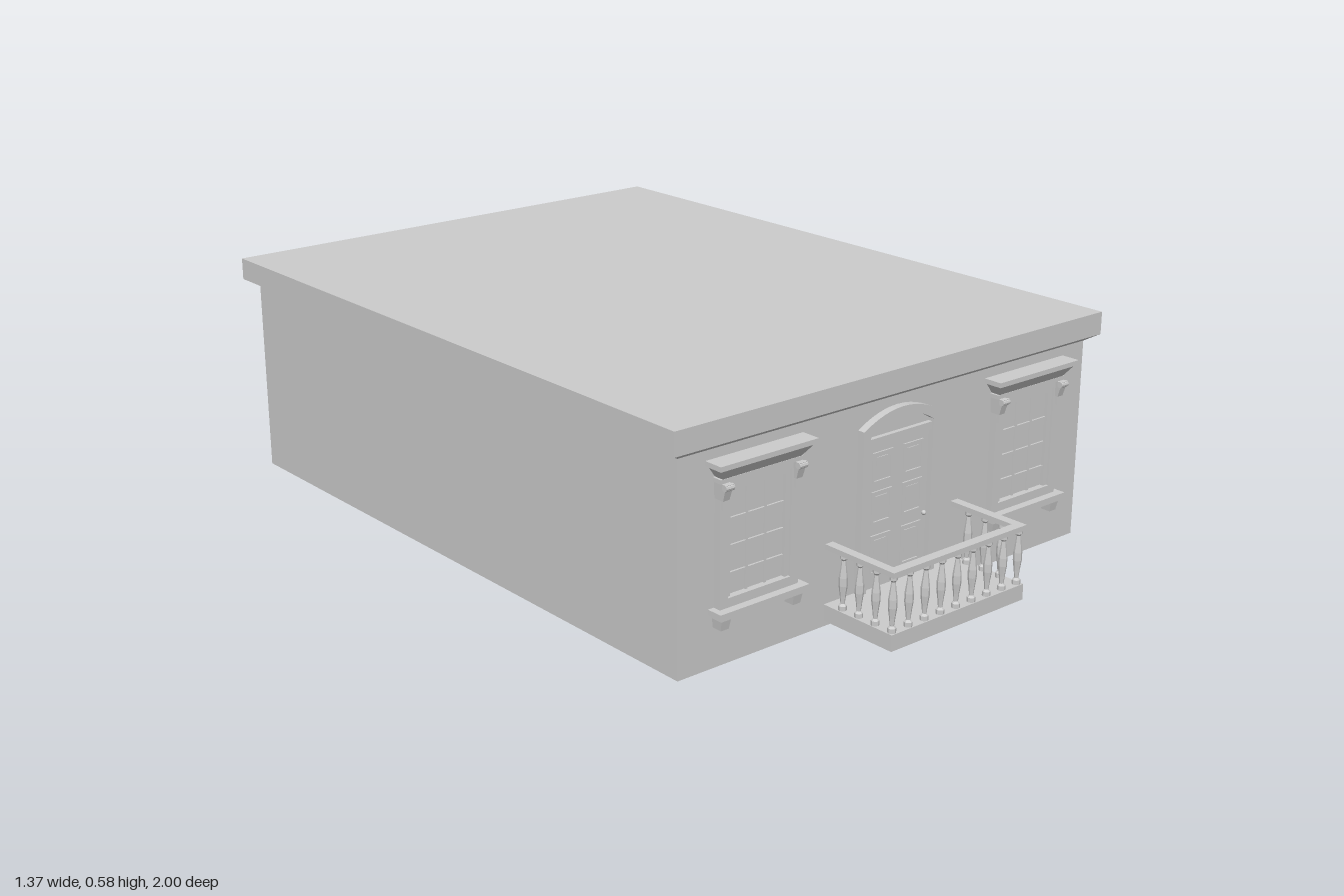
import * as THREE from 'three';

const mat = new THREE.MeshStandardMaterial({ color: 0xcccccc, flatShading: true });
const WALL = 0.785; // z of the front wall

function add(parent, name, geometry) {
  const mesh = new THREE.Mesh(geometry, mat);
  mesh.name = name;
  parent.add(mesh);
  return mesh;
}

// Box given by its extents
function box(parent, name, x0, x1, y0, y1, z0, z1) {
  const m = add(parent, name, new THREE.BoxGeometry(x1 - x0, y1 - y0, z1 - z0));
  m.position.set((x0 + x1) / 2, (y0 + y1) / 2, (z0 + z1) / 2);
  return m;
}

// Box whose lower face is drawn in by dx at the sides, by back and front in z
function taperedBox(parent, name, x0, x1, y0, y1, z0, z1, dx, back, front) {
  const m = box(parent, name, x0, x1, y0, y1, z0, z1);
  const p = m.geometry.attributes.position;
  for (let i = 0; i < p.count; i++) {
    if (p.getY(i) > 0) continue;
    p.setX(i, p.getX(i) - Math.sign(p.getX(i)) * dx);
    p.setZ(i, p.getZ(i) + (p.getZ(i) > 0 ? -front : back));
  }
  m.geometry.computeVertexNormals();
  return m;
}

// Rectangular surround with an open middle
function surround(parent, name, w, y0, y1, t, z0, z1) {
  const s = new THREE.Shape([[-w, y0], [w, y0], [w, y1], [-w, y1]].map(([x, y]) => new THREE.Vector2(x, y)));
  s.holes.push(new THREE.Path([[-w + t, y0 + t], [-w + t, y1 - t], [w - t, y1 - t], [w - t, y0 + t]].map(([x, y]) => new THREE.Vector2(x, y))));
  const m = add(parent, name, new THREE.ExtrudeGeometry(s, { depth: z1 - z0, bevelEnabled: false }));
  m.position.z = z0;
  return m;
}

function createWindow() {
  const g = new THREE.Group();
  g.name = 'window';
  const z = WALL - 0.005;
  box(g, 'glass', -0.095, 0.095, 0.145, 0.415, z, WALL + 0.003);
  surround(g, 'outerFrame', 0.115, 0.143, 0.445, 0.023, z, 0.805);
  surround(g, 'sash', 0.092, 0.143, 0.422, 0.012, z, 0.798);

  // Glazing bars: three columns and four rows of panes
  for (const x of [-0.027, 0.027]) box(g, 'uprightBar', x - 0.003, x + 0.003, 0.15, 0.41, z, 0.793);
  for (let i = 1; i < 4; i++) {
    const y = 0.152 + i * 0.0635;
    box(g, 'crossBar', -0.082, 0.082, y - 0.003, y + 0.003, z, 0.793);
  }

  // Stepped cornice on scroll brackets
  box(g, 'corniceTop', -0.141, 0.141, 0.476, 0.488, z, 0.835);
  taperedBox(g, 'corniceMoulding', -0.135, 0.135, 0.447, 0.476, z, 0.83, 0.021, 0, 0.02);
  box(g, 'corniceBed', -0.12, 0.12, 0.437, 0.447, z, 0.811);
  for (const s of [-1, 1]) {
    const x = s * 0.106;
    taperedBox(g, 'bracket', x - 0.011, x + 0.011, 0.398, 0.437, z, 0.825, 0.002, 0, 0.012);
    box(g, 'bracketFoot', x - 0.008, x + 0.008, 0.376, 0.398, z, 0.812);
    const roll = add(g, 'bracketScroll', new THREE.CylinderGeometry(0.008, 0.008, 0.024, 10));
    roll.rotation.z = Math.PI / 2;
    roll.position.set(x, 0.43, 0.82);
    taperedBox(g, 'sillBlock', s * 0.106 - 0.015, s * 0.106 + 0.015, 0.098, 0.13, z, 0.818, 0.004, 0, 0.006);
  }
  box(g, 'sill', -0.131, 0.131, 0.131, 0.144, z, 0.826);
  box(g, 'sillMoulding', -0.122, 0.122, 0.122, 0.131, z, 0.818);
  return g;
}

function createDoor() {
  const g = new THREE.Group();
  g.name = 'door';
  const z = WALL - 0.005;

  // Surround with a shallow arched head
  const arch = (P, w, spring, rise) => {
    P.moveTo(-w, 0.05);
    P.lineTo(w, 0.05);
    P.lineTo(w, spring);
    for (let i = 1; i <= 12; i++) {
      const t = 1 - i / 6;
      P.lineTo(w * t, spring + rise * (1 - t * t));
    }
    P.closePath();
    return P;
  };
  const shape = arch(new THREE.Shape(), 0.124, 0.453, 0.036);
  shape.holes.push(arch(new THREE.Path(), 0.102, 0.436, 0.034));
  add(g, 'doorSurround', new THREE.ExtrudeGeometry(shape, { depth: 0.025, bevelEnabled: false })).position.z = z;
  const fan = arch(new THREE.Shape(), 0.103, 0.436, 0.034);
  add(g, 'doorBacking', new THREE.ExtrudeGeometry(fan, { depth: 0.008, bevelEnabled: false })).position.z = z;
  box(g, 'transom', -0.102, 0.102, 0.41, 0.428, z, 0.8);
  box(g, 'doorLeaf', -0.1, 0.1, 0.055, 0.41, z, 0.791);

  // Moulded panels in pairs
  for (const s of [-1, 1]) {
    for (const [y0, y1] of [[0.09, 0.187], [0.215, 0.295], [0.315, 0.39]]) {
      const p = surround(g, 'panelMoulding', 0.032, y0, y1, 0.006, z, 0.795);
      p.position.x = s * 0.05;
      box(g, 'panelField', s * 0.05 - 0.019, s * 0.05 + 0.019, y0 + 0.013, y1 - 0.013, z, 0.793);
    }
  }
  const knob = add(g, 'doorKnob', new THREE.SphereGeometry(0.006, 10, 8));
  knob.position.set(0.088, 0.205, 0.798);
  return g;
}

function createBalcony() {
  const g = new THREE.Group();
  g.name = 'balcony';
  box(g, 'balconySlab', -0.218, 0.218, 0.015, 0.055, WALL - 0.005, 1);

  // Handrail on three sides
  box(g, 'frontHandrail', -0.218, 0.218, 0.19, 0.203, 0.975, 1);
  for (const s of [-1, 1]) box(g, 'sideHandrail', s * 0.206 - 0.012, s * 0.206 + 0.012, 0.19, 0.203, WALL, 0.975);

  // Turned balusters
  const profile = [[0.01, 0.055], [0.01, 0.066], [0.005, 0.071], [0.007, 0.09], [0.0105, 0.115],
    [0.0105, 0.135], [0.007, 0.16], [0.005, 0.176], [0.009, 0.181], [0.009, 0.191]];
  const geo = new THREE.LatheGeometry(profile.map(([r, y]) => new THREE.Vector2(r, y)), 8);
  const step = 0.0515;
  for (let i = -4; i <= 4; i++) add(g, 'baluster', geo).position.set(i * step, 0, 0.988);
  for (const s of [-1, 1]) {
    for (let i = 1; i < 4; i++) add(g, 'baluster', geo).position.set(s * 4 * step, 0, 0.988 - i * step);
  }
  return g;
}

export function createModel() {
  const house = new THREE.Group();
  house.name = 'house';
  box(house, 'walls', -0.652, 0.652, 0, 0.515, -0.966, WALL);

  // Flat roof with a sloped underside
  box(house, 'roofSlab', -0.683, 0.683, 0.528, 0.585, -1, 0.812);
  taperedBox(house, 'roofMoulding', -0.683, 0.683, 0.511, 0.528, -1, 0.812, 0.031, 0.034, 0.027);

  for (const s of [-1, 1]) {
    const w = createWindow();
    w.position.x = s * 0.435;
    house.add(w);
  }
  house.add(createDoor(), createBalcony());
  return house;
}
